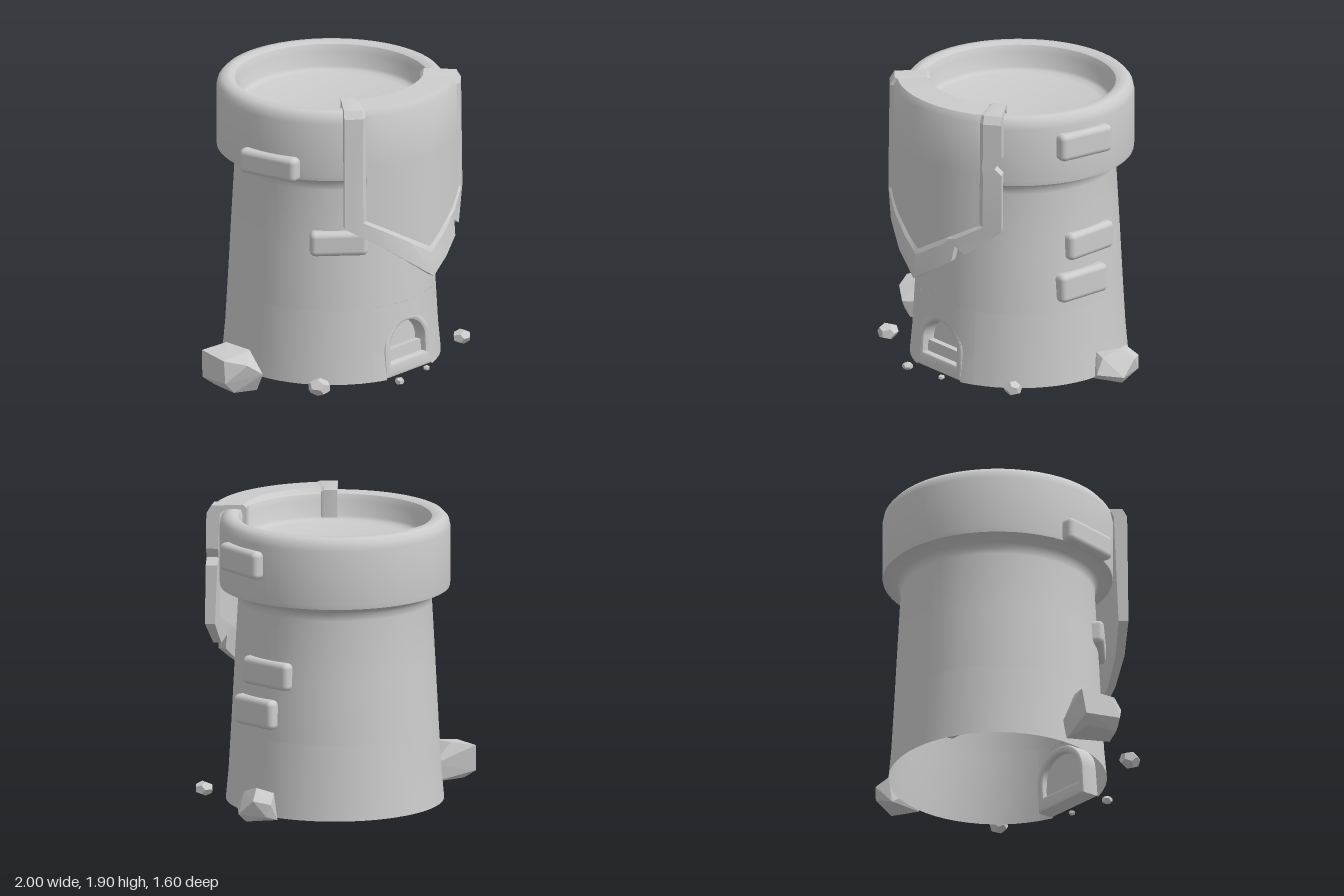
import * as THREE from 'three';
import { toCreasedNormals } from 'three/addons/utils/BufferGeometryUtils.js';
import { RoundedBoxGeometry } from 'three/addons/geometries/RoundedBoxGeometry.js';
import { ConvexGeometry } from 'three/addons/geometries/ConvexGeometry.js';
import { ParametricGeometry } from 'three/addons/geometries/ParametricGeometry.js';

const SEGMENTS = 56;
const SECTOR = (4 / SEGMENTS) * Math.PI * 2; // half angle of the wall patch around the door
const { lerp } = THREE.MathUtils;
const solid = new THREE.MeshStandardMaterial({ color: 0xcccccc });
const thin = new THREE.MeshStandardMaterial({ color: 0xcccccc, side: THREE.DoubleSide });

function add(parent, name, geometry, material = solid) {
  const mesh = new THREE.Mesh(geometry, material);
  mesh.name = name;
  parent.add(mesh);
  return mesh;
}

// Piecewise linear lookup: keys -> values
function sample(keys, values, t) {
  let i = 0;
  while (i < keys.length - 2 && t > keys[i + 1]) i++;
  return lerp(values[i], values[i + 1], (t - keys[i]) / (keys[i + 1] - keys[i]));
}

const WALL_Y = [0.015, 0.2, 0.5, 0.9, 1.3];
const WALL_R = [0.692, 0.675, 0.658, 0.637, 0.615];
const wallRadius = (y) => sample(WALL_Y, WALL_R, y);
const points = (list) => list.map(([x, y]) => new THREE.Vector2(x, y));
const lathe = (list, ...arc) => toCreasedNormals(new THREE.LatheGeometry(points(list), ...arc), 0.7);

// Banner cross-section: front face and back face as it hangs down and folds over the rim
const FOLD = [0.7, 1.0, 1.84, 1.9, 2.1, 2.14, 2.3];
const FRONT_R = [0.87, 0.83, 0.82, 0.79, 0.585, 0.565, 0.565];
const FRONT_Y = [0.7, 1.0, 1.84, 1.89, 1.9, 1.88, 1.7];
const BACK_R = [0.83, 0.77, 0.735, 0.72, 0.6, 0.59, 0.59];
const BACK_Y = [0.7, 1.0, 1.84, 1.87, 1.87, 1.84, 1.7];

function bannerPoint(x, h, k, target) {
  const angle = Math.asin(x / 0.81);
  const r = lerp(sample(FOLD, BACK_R, h), sample(FOLD, FRONT_R, h), k);
  const y = lerp(sample(FOLD, BACK_Y, h), sample(FOLD, FRONT_Y, h), k);
  return target.set(r * Math.sin(angle), y, r * Math.cos(angle));
}

function addWalls(tower) {
  // Upper wall, crown, rim and sunken roof
  add(tower, 'upperWallAndCrown', lathe([
    [0.658, 0.5], [0.637, 0.9], [0.615, 1.3], [0.618, 1.34], [0.64, 1.365], [0.728, 1.4],
    [0.732, 1.43], [0.732, 1.78], [0.722, 1.825], [0.695, 1.855], [0.65, 1.862], [0.615, 1.845],
    [0.595, 1.8], [0.585, 1.71], [0.57, 1.69], [0.53, 1.68], [0, 1.68],
  ], SEGMENTS), thin);

  // Lower wall, open at the front for the doorway
  add(tower, 'lowerWall', lathe(
    [0, 1, 2].map((i) => [WALL_R[i], WALL_Y[i]]), SEGMENTS - 8, SECTOR, Math.PI * 2 - SECTOR * 2), thin);

  // Wall between the arch and the edges of that opening
  add(tower, 'doorSurround', new ParametricGeometry((u, v, target) => {
    const t = u * 4;
    let x, y, angle, top;
    if (t < 1 || t > 3) {
      const side = t < 1 ? -1 : 1;
      const f = t < 1 ? t : 4 - t;
      [x, y, angle, top] = [side * 0.212, lerp(0.015, 0.19, f), side * SECTOR, lerp(0.015, 0.5, f)];
    } else {
      const a = Math.PI * (1 - (t - 1) / 2);
      [x, y, angle, top] = [0.212 * Math.cos(a), 0.19 + 0.2 * Math.sin(a), SECTOR * (t - 2), 0.5];
    }
    const theta = lerp(Math.asin(x / wallRadius(y)), angle, v);
    const h = lerp(y, top, v);
    target.set(wallRadius(h) * Math.sin(theta), h, wallRadius(h) * Math.cos(theta));
  }, 32, 4), thin);
}

function arch(PathType, half, bottom, spring, rise) {
  const path = new PathType();
  path.moveTo(-half, bottom);
  path.lineTo(half, bottom);
  path.lineTo(half, spring);
  path.absellipse(0, spring, half, rise, 0, Math.PI, false);
  path.closePath();
  return path;
}

function addDoor(tower) {
  const door = new THREE.Group();
  door.name = 'door';
  door.position.z = 0.555;
  door.rotation.x = -0.06;
  const shape = arch(THREE.Shape, 0.2, 0.03, 0.19, 0.19);
  shape.holes.push(arch(THREE.Path, 0.18, 0.09, 0.2, 0.165));
  const frame = new THREE.ExtrudeGeometry(shape, {
    depth: 0.09, bevelSize: 0.017, bevelThickness: 0.02, bevelSegments: 2, curveSegments: 16,
  });
  add(door, 'doorFrame', toCreasedNormals(frame, 0.6));
  add(door, 'doorPanel', new THREE.ShapeGeometry(arch(THREE.Shape, 0.19, 0.06, 0.2, 0.17)), thin).position.z = 0.02;
  add(door, 'doorStep', new THREE.BoxGeometry(0.35, 0.1, 0.05)).position.set(0, 0.13, 0.04);
  tower.add(door);
}

function addBanner(tower) {
  const banner = new THREE.Group();
  banner.name = 'banner';
  // Cloth panel, pointed at the bottom and folded over the rim
  add(banner, 'bannerPanel', toCreasedNormals(new ParametricGeometry((u, v, target) => {
    const x = lerp(-0.435, 0.435, u);
    const bottom = 0.9 + 0.25 * Math.abs(x) / 0.435;
    const h = sample([0, 0.2, 0.4, 0.6, 0.8, 1], [bottom, 1.5, 1.84, 1.9, 2.1, 2.14], v);
    bannerPoint(x, h, 0.78, target);
  }, 20, 5), 0.8), thin);

  // Raised border: outer x, outer height, inner x, inner height
  const strip = (side, heights) => heights.map((h) => [side * 0.548, h, side * 0.435, h]);
  const folds = [2.3, 2.14, 2.1, 1.9, 1.84];
  const stations = [
    ...strip(-1, folds), [-0.548, 1.11, -0.435, 1.15], [-0.36, 0.974, -0.29, 1.067],
    [-0.18, 0.842, -0.145, 0.983], [0, 0.71, 0, 0.9], [0.14, 0.8, 0.115, 0.966],
    [0.275, 0.89, 0.21, 1.02], [0.29, 0.99, 0.24, 1.038], [0.355, 0.945, 0.3, 1.072],
    [0.55, 1.12, 0.435, 1.15], [0.55, 1.5, 0.435, 1.5], [0.515, 1.545, 0.435, 1.545],
    [0.55, 1.61, 0.435, 1.61], ...strip(1, folds.slice().reverse()),
  ];
  const last = stations.length + 1; // the end rings close to a point
  add(banner, 'bannerBorder', toCreasedNormals(new ParametricGeometry((u, v, target) => {
    const i = Math.round(u * last);
    const [xo, ho, xi, hi] = stations[Math.min(Math.max(i - 1, 0), stations.length - 1)];
    const corner = [[0, 0], [0, 1], [0.82, 1], [1, 0.75], [1, 0], [0, 0]][Math.round(v * 5)];
    const [f, k] = i === 0 || i === last ? [0.5, 0.5] : corner;
    bannerPoint(lerp(xo, xi, f), lerp(ho, hi, f), k, target);
  }, last, 5), 0.4), thin);
  tower.add(banner);
}

function addBricks(tower) {
  // Angle from the front, height, width, tallness, distance of outer face, roll
  const bricks = [
    [1.48, 1.65, 0.39, 0.18, 0.775, 0], [1.67, 0.925, 0.39, 0.18, 0.665, 0],
    [1.54, 0.665, 0.37, 0.19, 0.69, 0.03],
    [-1.41, 1.47, 0.42, 0.16, 0.775, 0], [-0.77, 0.95, 0.37, 0.16, 0.68, 0],
  ];
  bricks.forEach(([angle, y, width, height, reach, roll]) => {
    const brick = add(tower, 'brick', new RoundedBoxGeometry(width, height, 0.14, 3, 0.035));
    brick.position.set(Math.sin(angle) * (reach - 0.07), y, Math.cos(angle) * (reach - 0.07));
    brick.rotation.set(0, angle, roll, 'YXZ');
  });
}

function addRocks(group) {
  const hull = (list) => new ConvexGeometry(list.map((p) => new THREE.Vector3(...p)));
  add(group, 'leftBoulder', hull([
    [-1, 0.08, 0], [-0.98, 0.22, -0.03], [-0.93, 0.23, -0.26], [-0.95, 0.06, -0.24], [-0.78, 0.26, -0.19],
    [-0.77, 0.25, 0], [-0.65, 0.13, -0.17], [-0.81, 0.13, 0.15], [-0.7, 0.12, 0.01], [-0.94, 0.01, 0.02],
    [-0.66, 0.01, -0.15], [-0.8, 0.01, 0.09], [-0.9, 0.01, -0.18], [-0.9, 0.2, 0.1],
  ]));
  add(group, 'rightBoulder', hull([
    [0.79, 0.19, -0.12], [0.9, 0.225, -0.24], [0.83, 0.2, -0.33], [0.9, 0.14, -0.38], [0.97, 0.16, -0.29],
    [0.995, 0.06, -0.18], [0.89, 0.08, -0.045], [0.88, 0.18, -0.1], [0.95, 0.01, -0.2], [0.8, 0.02, -0.1],
    [0.8, 0.02, -0.33], [0.92, 0.06, -0.36], [0.77, 0.1, -0.2],
  ]));
  // Small stones: x, y, z, radius
  [[-0.6, 0.06, 0.44, 0.07], [0.7, 0.068, 0.49, 0.06], [-0.11, 0.028, 0.685, 0.033], [0.185, 0.03, 0.65, 0.022]]
    .forEach(([x, y, z, r], i) => {
      const stone = add(group, 'stone', new THREE.DodecahedronGeometry(r));
      stone.position.set(x, y, z);
      stone.scale.set(0.95, 0.8, 1.1);
      stone.rotation.set(0, i + 0.4, 0);
    });
}

export function createModel() {
  const model = new THREE.Group();
  model.name = 'towerScene';
  const tower = new THREE.Group();
  tower.name = 'tower';
  tower.position.set(0.087, 0, -0.068);
  addWalls(tower);
  addDoor(tower);
  addBanner(tower);
  addBricks(tower);
  model.add(tower);
  addRocks(model);
  return model;
}
